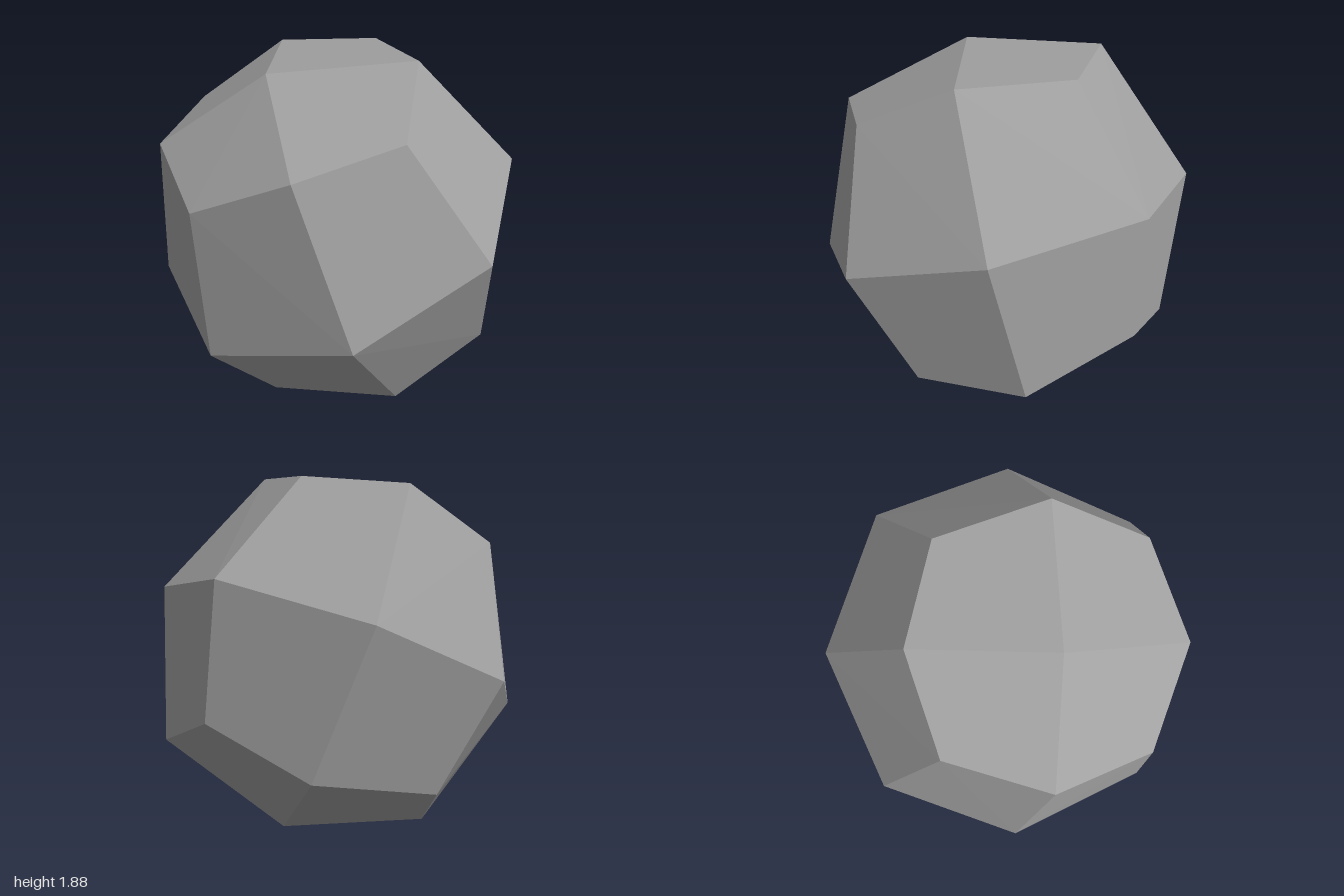
import * as THREE from 'three';
import { ConvexGeometry } from 'three/addons/geometries/ConvexGeometry.js';

// Corners of a faceted boulder, gathered in rings from top to base
const crown = [[0.40, 1.88, 0.21], [-0.35, 1.82, 0.20], [0.24, 1.86, -0.36], [-0.28, 1.82, -0.51]];
const shoulder = [
  [-0.91, 1.44, 0.13], [-0.71, 1.28, 0.64], [-0.23, 1.51, 0.85], [0.29, 1.63, 0.70],
  [0.96, 1.29, 0.04], [0.67, 1.37, -0.69], [-0.03, 1.18, -1.0], [-0.73, 1.53, -0.39],
];
const belly = [
  [0.72, 1.02, 0.74], [0.04, 0.71, 1.0], [-0.66, 0.50, 0.68], [-0.97, 0.61, -0.06],
  [-0.70, 0.87, -0.75], [0.25, 0.44, -0.90], [0.73, 0.69, -0.68], [0.96, 0.48, -0.14],
  [0.78, 0.41, 0.42], [-0.39, 0.30, -0.70],
];
const base = [[-0.43, 0, -0.23], [-0.35, 0.07, 0.40], [0.31, 0.09, 0.53], [0.34, 0, -0.24]];

export function createModel() {
  const group = new THREE.Group();
  group.name = 'boulder';

  const stoneGrey = new THREE.MeshStandardMaterial({ color: 0xa0a0a0 });
  stoneGrey.name = 'stoneGrey';
  stoneGrey.flatShading = true;

  // The stone is the convex skin stretched over all the rings
  const corners = [...crown, ...shoulder, ...belly, ...base].map((p) => new THREE.Vector3(...p));
  const stone = new THREE.Mesh(new ConvexGeometry(corners), stoneGrey);
  stone.name = 'stone';
  group.add(stone);
  return group;
}
